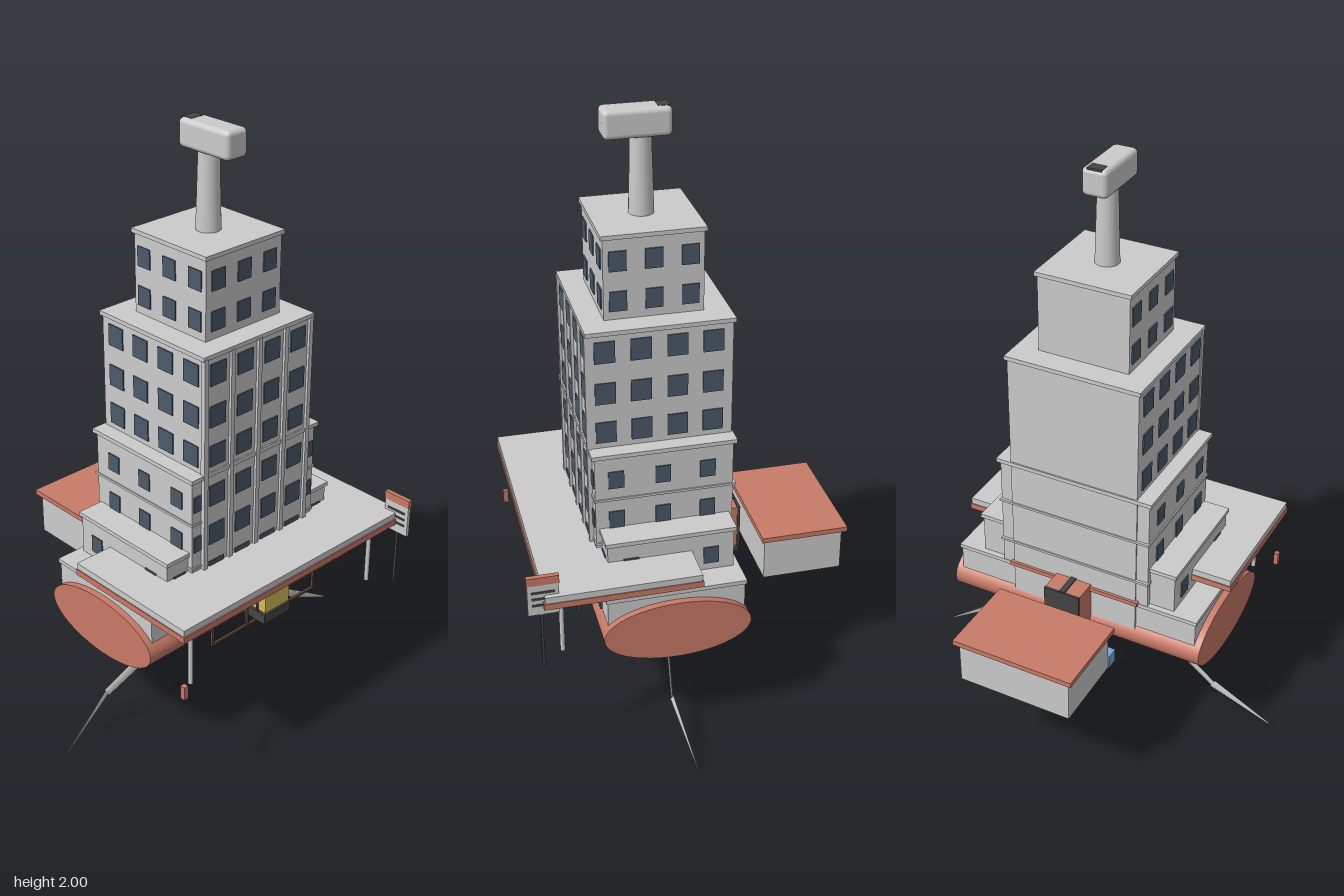
import * as THREE from 'three';
import { RoundedBoxGeometry } from 'three/addons/geometries/RoundedBoxGeometry.js';

const mat = (color) => new THREE.MeshStandardMaterial({ color });
const grey = mat(0xcccccc), red = mat(0xc87a68), glass = mat(0x4a5a6a);
const dark = mat(0x444444), yellow = mat(0xd4bc5a), blue = mat(0x7aa6d0), brown = mat(0x6b4a3a);

export function createModel() {
  const root = new THREE.Group();

  const add = (name, geo, material, x = 0, y = 0, z = 0, parent = root) => {
    const m = new THREE.Mesh(geo, material);
    m.name = name;
    m.position.set(x, y, z);
    parent.add(m);
    return m;
  };
  // Box given by its limits on each axis
  const box = (name, material, x0, x1, y0, y1, z0, z1, parent = root) =>
    add(name, new THREE.BoxGeometry(x1 - x0, y1 - y0, z1 - z0), material,
      (x0 + x1) / 2, (y0 + y1) / 2, (z0 + z1) / 2, parent);
  const group = (name) => {
    const g = new THREE.Group();
    g.name = name;
    root.add(g);
    return g;
  };

  // Window grids on a front wall and on both side walls
  const windows = group('windows');
  const frontWindows = (xs, ys, z, w, h) => {
    for (const x of xs) for (const y of ys)
      add('frontWindow', new THREE.BoxGeometry(w, h, 0.008), glass, x, y, z, windows);
  };
  const sideWindows = (zs, ys, x, w, h) => {
    for (const s of [-1, 1]) for (const z of zs) for (const y of ys)
      add('sideWindow', new THREE.BoxGeometry(0.008, h, w), glass, s * x, y, z, windows);
  };

  // Elliptical hull lying along x
  const hullGeo = new THREE.CylinderGeometry(1, 1, 0.935, 48);
  hullGeo.rotateZ(Math.PI / 2);
  hullGeo.scale(1, 0.104, 0.24);
  add('hull', hullGeo, red, 0, 0.43, 0.083);

  // Stepped building, each tier with a thin ledge round its top
  const tier = (name, hx, y0, y1, z0, z1, ledge = 0.007) => {
    box(name, grey, -hx, hx, y0, y1, z0, z1);
    box(name + 'Ledge', grey, -hx - ledge, hx + ledge, y1 - 0.014, y1, z0 - ledge, z1 + ledge);
  };
  tier('groundFloor', 0.445, 0.40, 0.57, -0.14, 0.305, 0.005);
  tier('wing', 0.36, 0.56, 0.72, -0.125, 0.285);
  tier('lowerTier', 0.272, 0.56, 0.99, -0.143, 0.303, 0.01);
  tier('tower', 0.23, 0.42, 1.39, -0.148, 0.308);
  tier('upperTier', 0.158, 1.385, 1.665, -0.073, 0.24);
  for (const y of [0.66, 0.82])
    box('stringCourse', grey, -0.276, 0.276, y, y + 0.008, -0.152, 0.307);
  box('rearTrim', red, -0.24, 0.24, 0.565, 0.58, -0.157, -0.14);
  for (const x of [-0.225, -0.115, 0, 0.115, 0.225])
    box('pilaster', grey, x - 0.008, x + 0.008, 0.57, 1.38, 0.3, 0.317);

  frontWindows([-0.172, -0.058, 0.058, 0.172], [0.63, 0.765, 0.905, 1.045, 1.18, 1.32], 0.308, 0.065, 0.072);
  frontWindows([-0.108, 0, 0.108], [1.45, 1.58], 0.24, 0.055, 0.065);
  frontWindows([-0.25, 0.25], [0.75, 0.895], 0.303, 0.03, 0.055);
  frontWindows([-0.31, 0.31], [0.625], 0.285, 0.05, 0.06);
  frontWindows([-0.3, -0.17, 0.17, 0.3], [0.497], 0.308, 0.11, 0.05);
  sideWindows([-0.085, 0.028, 0.142, 0.255], [1.045, 1.18, 1.32], 0.23, 0.065, 0.072);
  sideWindows([-0.03, 0.083, 0.195], [1.45, 1.58], 0.158, 0.055, 0.065);
  sideWindows([-0.06, 0.085, 0.235], [0.75, 0.895], 0.272, 0.05, 0.06);
  sideWindows([-0.05, 0.21], [0.625], 0.36, 0.05, 0.06);

  // Periscope on the roof
  add('periscopeColumn', new THREE.CylinderGeometry(0.033, 0.04, 0.26, 20), grey, 0, 1.79, 0.085);
  add('periscopeHead', new RoundedBoxGeometry(0.086, 0.09, 0.212, 2, 0.016), grey, 0, 1.954, 0.1);
  box('periscopeVent', dark, -0.025, 0.025, 1.99, 2.0, -0.002, 0.036);

  // Forecourt canopy and its posts
  box('canopyRoof', grey, -0.497, 0.497, 0.622, 0.65, 0.013, 0.508);
  box('canopyTrim', red, -0.5, 0.5, 0.607, 0.628, 0.01, 0.512);
  for (const s of [-1, 1])
    add('canopyPost', new THREE.CylinderGeometry(0.008, 0.008, 0.23, 12), grey, s * 0.413, 0.495, 0.447);

  // Roadside sign and bollard
  const sign = group('sign');
  box('signPost', dark, 0.471, 0.479, 0.385, 0.7, 0.514, 0.522, sign);
  box('signBoard', grey, 0.469, 0.481, 0.58, 0.70, 0.462, 0.56, sign);
  box('signTop', red, 0.467, 0.483, 0.69, 0.718, 0.46, 0.562, sign);
  for (const y of [0.612, 0.635, 0.658])
    box('signStripe', dark, 0.467, 0.483, y, y + 0.008, 0.475, 0.547, sign);
  box('bollard', red, -0.49, -0.474, 0.385, 0.432, 0.484, 0.502);

  // Entrance booth and the machine in front of it
  const booth = group('frontBooth');
  box('boothBack', red, -0.067, 0.067, 0.43, 0.59, 0.3, 0.33, booth);
  box('boothRoof', dark, -0.06, 0.06, 0.583, 0.592, 0.32, 0.39, booth);
  box('boothBody', yellow, -0.055, 0.055, 0.45, 0.52, 0.325, 0.418, booth);
  box('boothBase', dark, -0.06, 0.06, 0.41, 0.445, 0.325, 0.42, booth);
  for (const x of [-0.055, 0.055])
    box('boothPost', dark, x - 0.004, x + 0.004, 0.43, 0.59, 0.38, 0.388, booth);

  // Rail along the forecourt
  const rail = group('forecourtRail');
  for (const y of [0.388, 0.54])
    box('railBar', brown, -0.24, 0.24, y - 0.004, y + 0.004, 0.356, 0.364, rail);
  for (const x of [-0.235, -0.08, 0.08, 0.235])
    box('railPost', brown, x - 0.004, x + 0.004, 0.385, 0.543, 0.356, 0.364, rail);

  // Rear booth
  const rear = group('rearBooth');
  box('rearBoothBody', red, -0.065, 0.065, 0.435, 0.588, -0.225, -0.135, rear);
  box('rearBoothFrame', dark, -0.065, 0.065, 0.43, 0.59, -0.235, -0.226, rear);
  box('rearBoothStrip', dark, -0.01, 0.01, 0.575, 0.593, -0.232, -0.14, rear);
  box('rearBoothBase', dark, -0.05, 0.05, 0.40, 0.432, -0.235, -0.135, rear);
  box('rearBoothHandle', dark, -0.006, 0.006, 0.405, 0.43, -0.258, -0.23, rear);

  // Detached shed behind, with a small blue cabinet
  box('shedBody', grey, -0.2, 0.2, 0.383, 0.535, -0.553, -0.282);
  box('shedRoof', red, -0.216, 0.216, 0.534, 0.552, -0.567, -0.27);
  box('cabinet', blue, -0.205, -0.142, 0.384, 0.432, -0.283, -0.24);

  // Flat tapered legs, zigzagging in opposite directions on each side
  const up = new THREE.Vector3(0, 1, 0);
  const joints = [[0.04, 0.355, 0.018], [0.235, 0.245, -0.015], [0.435, 0.13, 0.016], [0.643, 0.003, -0.016]];
  const radii = [0.024, 0.02, 0.015, 0.003];
  for (const s of [-1, 1]) {
    const leg = group(s > 0 ? 'leftLeg' : 'rightLeg');
    const pts = joints.map(([x, y, z]) => new THREE.Vector3(s * x, y, 0.08 + s * z));
    for (let i = 0; i < 3; i++) {
      const dir = pts[i + 1].clone().sub(pts[i]);
      const geo = new THREE.CylinderGeometry(radii[i + 1], radii[i], dir.length(), 8);
      geo.scale(1, 1, 0.22);
      const mid = pts[i].clone().lerp(pts[i + 1], 0.5);
      const seg = add('legSegment', geo, grey, mid.x, mid.y, mid.z, leg);
      seg.quaternion.setFromUnitVectors(up, dir.normalize());
    }
  }

  return root;
}
